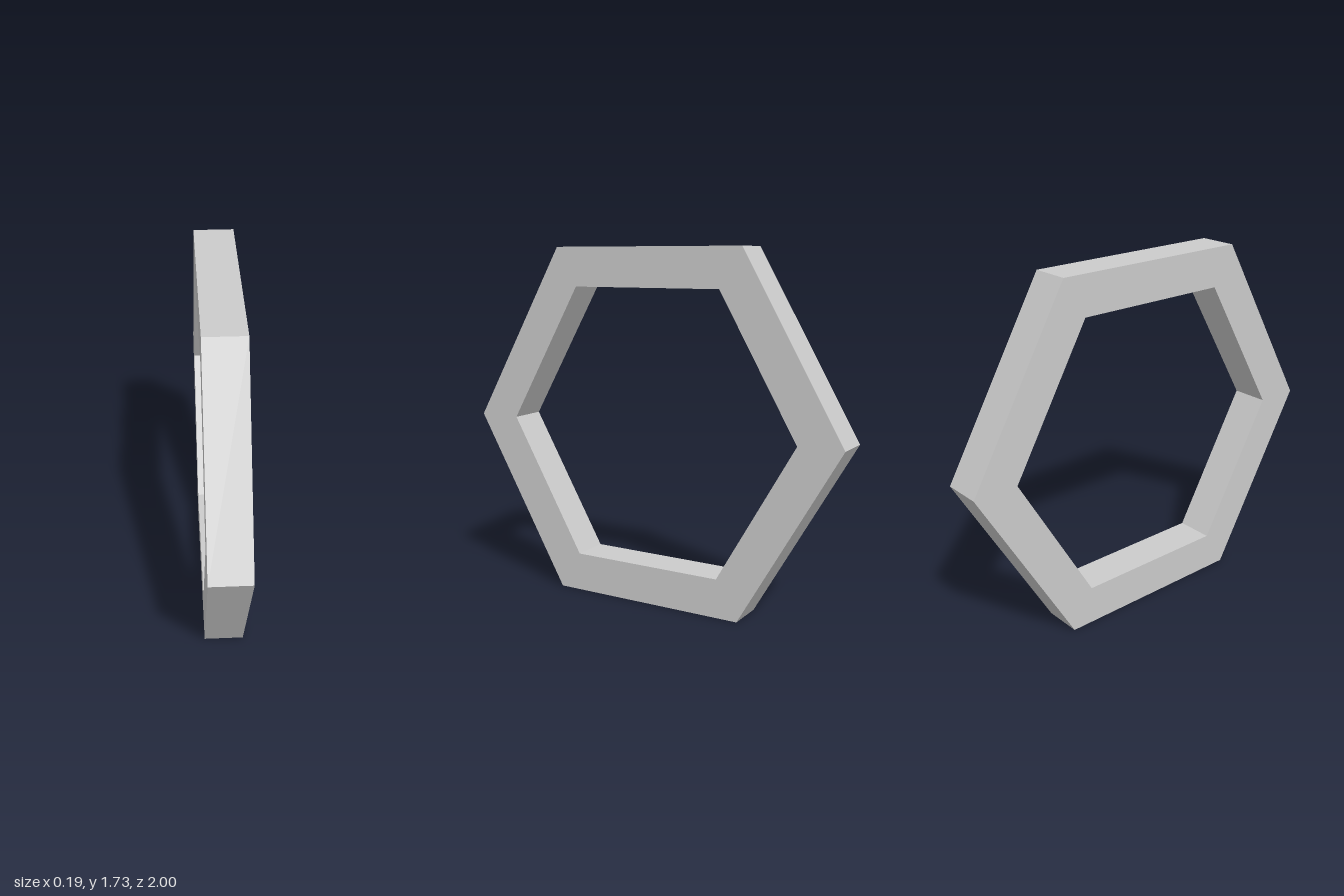
import * as THREE from 'three';

const OUTER = 1, INNER = 0.78, THICKNESS = 0.19;

// Corners of a regular hexagon with points at either side
function hexagon(radius) {
  return Array.from({ length: 6 }, (_, i) => {
    const a = (i * Math.PI) / 3;
    return new THREE.Vector2(radius * Math.cos(a), radius * Math.sin(a));
  });
}

export function createModel() {
  const group = new THREE.Group();
  group.name = 'hexagonalFrame';

  // Hexagon with a hexagonal opening, extruded across x
  const shape = new THREE.Shape(hexagon(OUTER));
  shape.holes.push(new THREE.Path(hexagon(INNER)));
  const geometry = new THREE.ExtrudeGeometry(shape, { depth: THICKNESS, bevelEnabled: false });
  geometry.translate(0, 0, -THICKNESS / 2);
  geometry.rotateY(Math.PI / 2);
  geometry.translate(0, OUTER * Math.sin(Math.PI / 3), 0);

  const ring = new THREE.Mesh(
    geometry,
    new THREE.MeshStandardMaterial({ color: 0xcccccc, flatShading: true })
  );
  ring.name = 'hexagonalRing';
  group.add(ring);
  return group;
}
